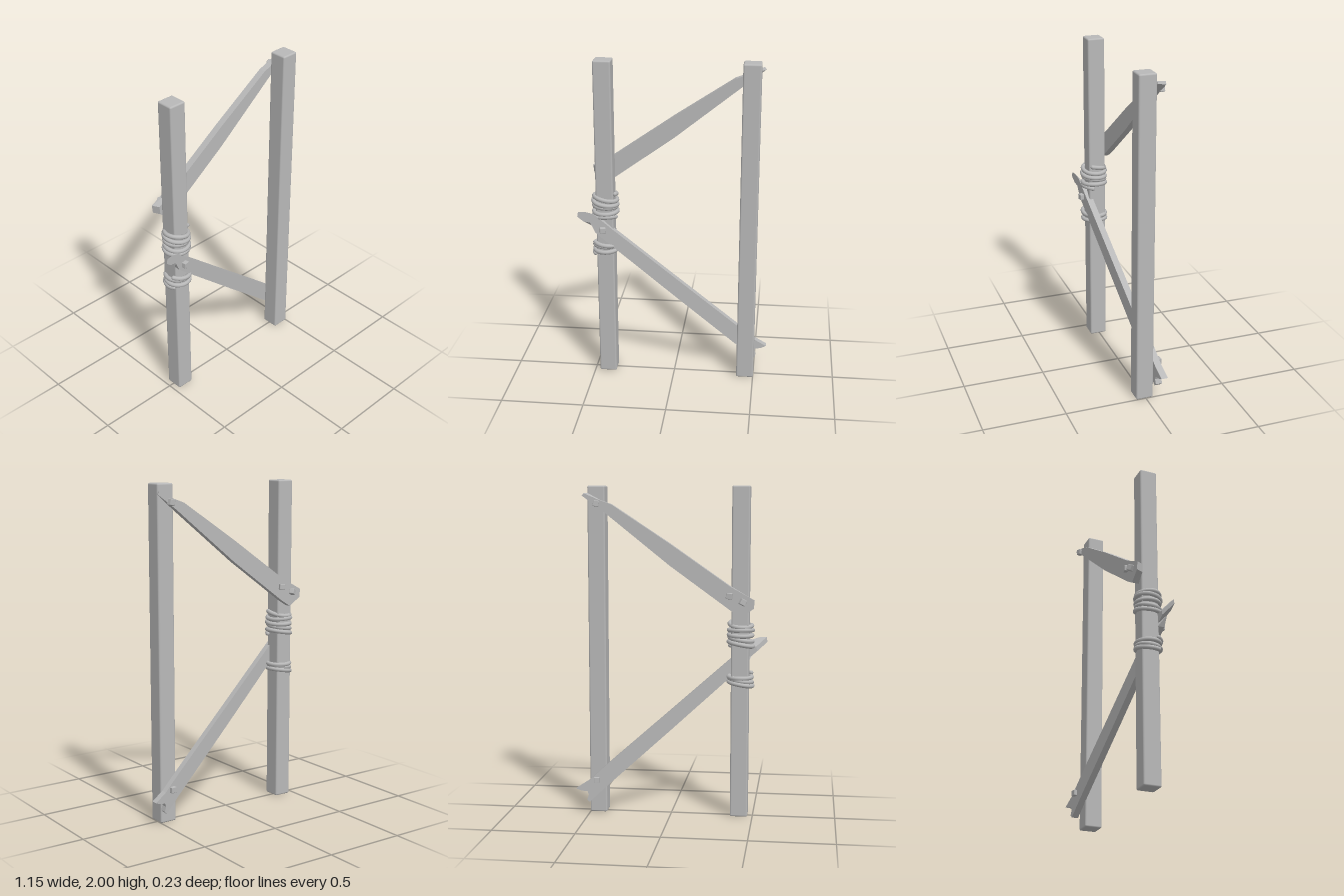
import * as THREE from 'three';
import { RoundedBoxGeometry } from 'three/addons/geometries/RoundedBoxGeometry.js';

const T = 0.04; // plank thickness

// Extrude an outline along z, then move each vertex by a rule (back = rear face)
function plankGeometry(outline, rule) {
  const shape = new THREE.Shape(outline.map(([x, y]) => new THREE.Vector2(x, y)));
  const g = new THREE.ExtrudeGeometry(shape, { depth: T, bevelEnabled: false });
  const p = g.attributes.position;
  for (let i = 0; i < p.count; i++) {
    const back = p.getZ(i) < T / 2;
    p.setXYZ(i, ...rule(p.getX(i), p.getY(i), back));
  }
  g.computeVertexNormals();
  return g;
}

export function createModel() {
  const group = new THREE.Group();
  const grey = new THREE.MeshStandardMaterial({ color: 0xb8b8b8 });
  grey.name = 'plain grey';

  const add = (name, geometry, x = 0, y = 0, z = 0) => {
    const mesh = new THREE.Mesh(geometry, grey);
    mesh.name = name;
    mesh.position.set(x, y, z);
    group.add(mesh);
    return mesh;
  };

  // Upright posts with softened edges
  const post = new RoundedBoxGeometry(0.106, 2, 0.106, 2, 0.01);
  add('rightPost', post, -0.417, 1, 0.0075);
  add('leftPost', post, 0.449, 1, 0.0075);

  // Upper plank behind both posts, ends cut at a slant
  add('upperPlank', plankGeometry([
    [-0.485, 1.33], [-0.48, 1.28], [-0.425, 1.23], [-0.36, 1.27], [0, 1.53], [0.4, 1.85],
    [0.505, 1.94], [0.495, 1.955], [0.42, 1.915], [0.35, 1.89], [0, 1.66], [-0.36, 1.41],
  ], (x, y, back) => [
    x + (back && Math.abs(x) > 0.45 ? Math.sign(x) * 0.02 : 0), y, back ? -0.087 : -0.045,
  ]));

  // Lower plank running from the front of one post to the back of the other
  add('lowerPlank', plankGeometry([
    [-0.575, 1.06], [-0.54, 1.03], [-0.5, 1.02], [-0.47, 0.955], [-0.34, 0.835], [0, 0.525],
    [0.4, 0.165], [0.495, 0.075], [0.51, 0.09], [0.5, 0.12], [0.508, 0.142], [0.545, 0.147],
    [0.575, 0.16], [0.5, 0.208], [0.4, 0.3], [0, 0.65], [-0.37, 0.975],
    [-0.48, 1.075], [-0.53, 1.09], [-0.57, 1.09],
  ], (x, y, back) => {
    const cut = back && x < -0.475 ? 0.06 : 0;
    const nx = x + cut;
    return [nx, y - cut * 0.87, 0.02 - 0.155 * nx - (back ? T : 0)];
  }));

  // Square bolt heads: x, y, z, tilt about y, turn about z
  const bolt = new RoundedBoxGeometry(0.036, 0.036, 0.03, 1, 0.004);
  [
    [-0.425, 0.972, 0.095, 0.2, 0],
    [-0.435, 1.32, -0.1, 0.45, 0.5],
    [-0.355, 1.355, -0.092, -0.2, 0.1],
    [0.44, 1.895, -0.092, 0.2, 0.2],
    [0.45, 0.215, -0.095, 0.15, 0],
  ].forEach(([x, y, z, ry, rz]) => add('bolt', bolt, x, y, z).rotation.set(0, ry, rz));

  // Rope windings: a slightly uneven helix with rounded ends
  const coil = (name, y0, y1, turns, start) => {
    const points = [];
    const n = turns * 16;
    for (let i = 0; i <= n; i++) {
      const t = i / n;
      const a = start + t * turns * Math.PI * 2;
      const r = 0.07 + 0.003 * Math.sin(a * 0.37);
      const sway = 0.008 * Math.sin(a + 2.2 * Math.sin(a * 0.21));
      points.push(new THREE.Vector3(
        -0.418 + r * Math.cos(a), y0 + (y1 - y0) * t + sway, 0.014 + r * Math.sin(a)));
    }
    const curve = new THREE.CatmullRomCurve3(points);
    add(name, new THREE.TubeGeometry(curve, turns * 28, 0.0135, 8));
    const end = new THREE.SphereGeometry(0.0135, 8, 6);
    [points[0], points[n]].forEach((p) => add(name + 'End', end, p.x, p.y, p.z));
  };
  coil('upperRope', 1.04, 1.18, 5, 0.4);
  coil('lowerRope', 0.81, 0.875, 3, 2.6);

  return group;
}
